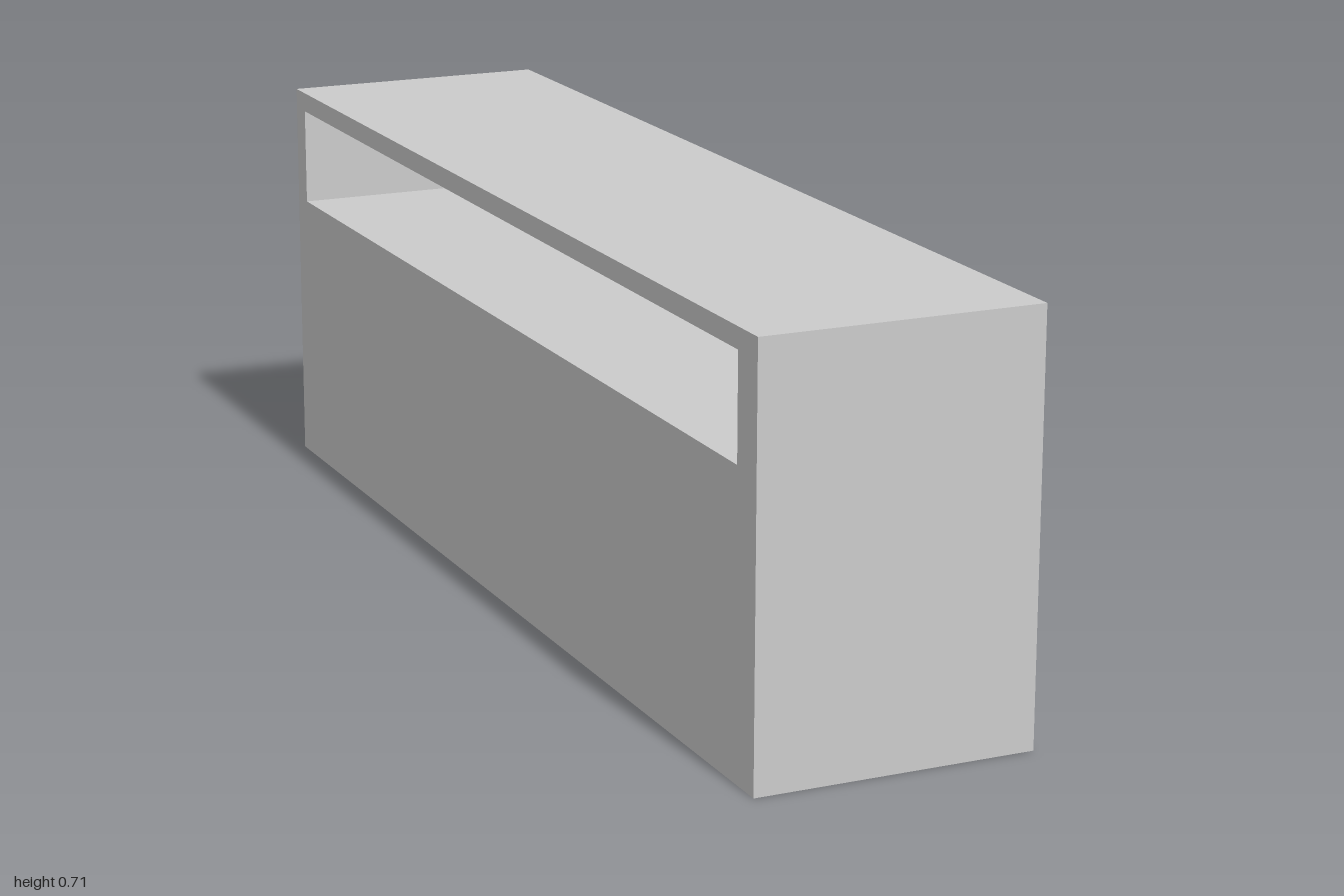
import * as THREE from 'three';

const HEIGHT = 0.71, BACK = -0.241, FRONT = 0.237; // doors face +x
const Z_MIN = -0.955, Z_MAX = 0.935;               // ends of both openings
const DOOR_Y = [0.045, 0.45], SHELF_Y = [0.5, 0.675];

export function createModel() {
  const group = new THREE.Group();
  const material = new THREE.MeshStandardMaterial({ color: 0xcccccc, flatShading: true });

  // Box given by its limits on each axis
  function addBox(name, [x0, x1], [y0, y1], [z0, z1]) {
    const mesh = new THREE.Mesh(new THREE.BoxGeometry(x1 - x0, y1 - y0, z1 - z0), material);
    mesh.position.set((x0 + x1) / 2, (y0 + y1) / 2, (z0 + z1) / 2);
    mesh.name = name;
    group.add(mesh);
  }

  const rectangle = (Type, a0, a1, b0, b1) => new Type([
    new THREE.Vector2(a0, b0), new THREE.Vector2(a1, b0),
    new THREE.Vector2(a1, b1), new THREE.Vector2(a0, b1),
  ]);

  // Carcass: outer block with an open shelf and a door compartment
  const profile = rectangle(THREE.Shape, -1, 1, 0, HEIGHT);
  for (const [y0, y1] of [DOOR_Y, SHELF_Y]) {
    profile.holes.push(rectangle(THREE.Path, -Z_MAX, -Z_MIN, y0, y1));
  }
  const carcassGeometry = new THREE.ExtrudeGeometry(profile, { depth: FRONT - BACK, bevelEnabled: false });
  carcassGeometry.rotateY(Math.PI / 2).translate(BACK, 0, 0);
  const carcass = new THREE.Mesh(carcassGeometry, material);
  carcass.name = 'carcass';
  group.add(carcass);

  // Back panel closes only the lower compartment
  addBox('backPanel', [BACK, BACK + 0.02], DOOR_Y, [Z_MIN, Z_MAX]);

  // Sliding doors on two tracks, each with a bar handle near its outer end
  const doors = [
    { name: 'frontDoor', face: 0.228, z: [Z_MIN, 0.075], handleZ: [-0.925, -0.896] },
    { name: 'rearDoor', face: 0.209, z: [0.03, Z_MAX], handleZ: [0.856, 0.885] },
  ];
  for (const { name, face, z, handleZ } of doors) {
    addBox(name, [face - 0.019, face], DOOR_Y, z);
    addBox(name + 'Handle', [face, face + 0.013], [0.195, 0.36], handleZ);
  }

  return group;
}
